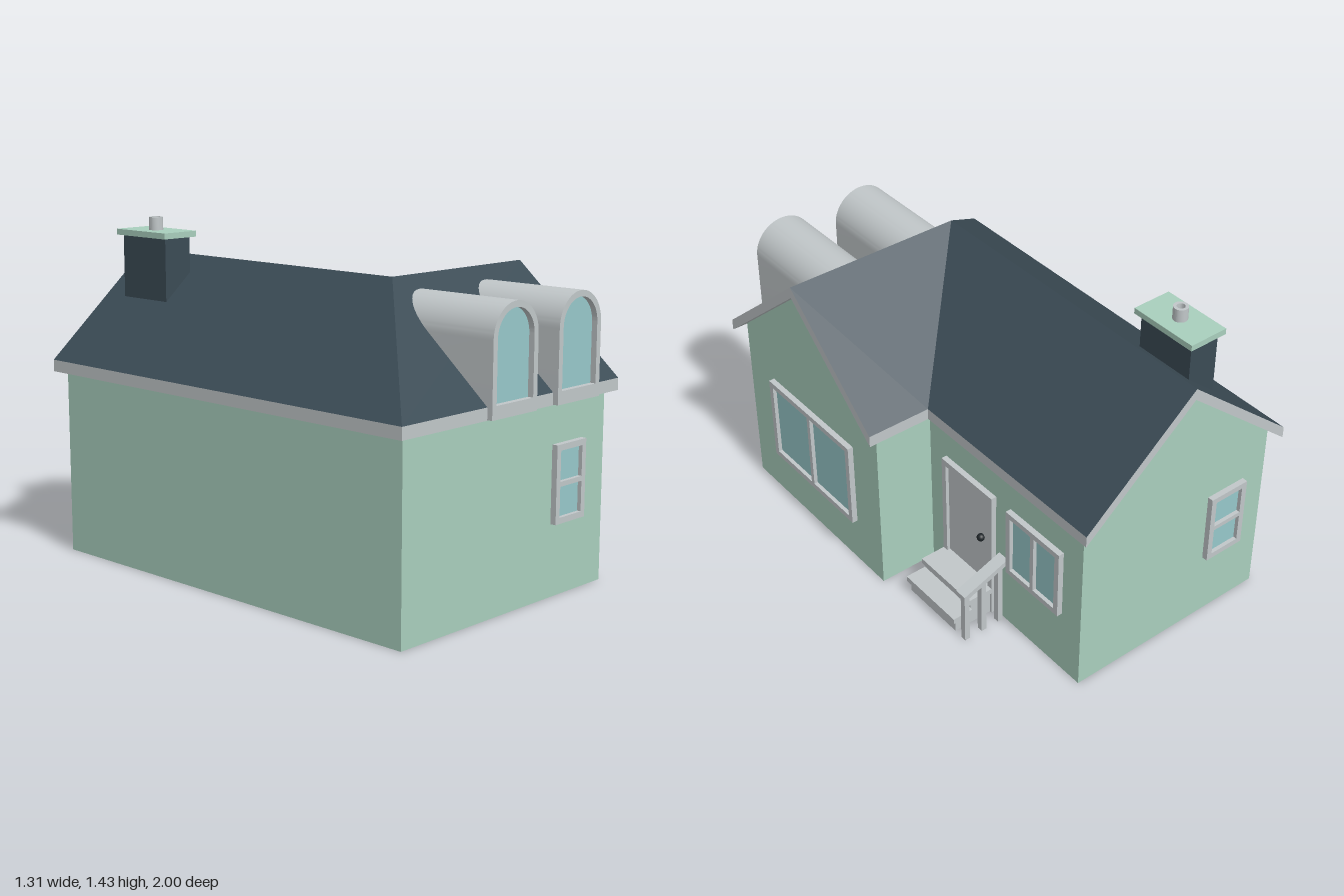
import * as THREE from 'three';
import { toCreasedNormals } from 'three/addons/utils/BufferGeometryUtils.js';

const mat = (name, color, side = THREE.FrontSide) => {
  const m = new THREE.MeshStandardMaterial({ color, side });
  m.name = name;
  return m;
};

export function createModel() {
  const house = new THREE.Group();
  house.name = 'house';
  const mint = mat('mint wall', 0xa9cfbd, THREE.DoubleSide);
  const trim = mat('pale grey trim', 0xc1c7c9);
  const slate = mat('dark slate', 0x3b4b55);
  const glass = mat('blue glass', 0x97c8ca);
  const black = mat('black knob', 0x20262a);

  const add = (name, geo, material, parent = house) => {
    const m = new THREE.Mesh(geo, material);
    m.name = name;
    parent.add(m);
    return m;
  };
  // box from its two extreme corners
  const box = (name, [x0, y0, z0], [x1, y1, z1], material, parent) =>
    add(name, new THREE.BoxGeometry(x1 - x0, y1 - y0, z1 - z0), material, parent)
      .position.set((x0 + x1) / 2, (y0 + y1) / 2, (z0 + z1) / 2);
  // flat convex polygons, counter-clockwise from outside
  const polys = (list) => {
    const pos = [];
    for (const p of list)
      for (let i = 1; i < p.length - 1; i++) pos.push(...p[0], ...p[i], ...p[i + 1]);
    const g = new THREE.BufferGeometry();
    g.setAttribute('position', new THREE.Float32BufferAttribute(pos, 3));
    g.computeVertexNormals();
    return g;
  };

  // L-shaped walls, open underneath, with two gables
  const W = -0.62, M = 0.335, E = 0.6, N = -0.95, S = 0.95, H = 0.812, P = 1.22;
  const wall = (x0, z0, x1, z1, peak) =>
    [[x0, 0, z0], [x1, 0, z1], [x1, H, z1], ...(peak ? [peak] : []), [x0, H, z0]];
  add('walls', polys([
    wall(W, S, E, S),
    wall(E, S, E, 0, [E, P, 0.47]),
    wall(E, 0, M, 0),
    wall(M, 0, M, N),
    wall(M, N, W, N, [-0.1425, P, N]),
    wall(W, N, W, S),
  ]), mint);

  // roof: four slopes meeting in a hip and a valley
  const ey = 0.835, ry = 1.27, t = 0.05;
  const sw = [-0.655, ey, 0.977], se = [0.655, ey, 0.977], re = [0.655, ry, 0.47];
  const ne = [0.655, ey, -0.037], valley = [0.37, ey, -0.037], mid = [-0.1425, ry, 0.47];
  const be = [0.37, ey, -1], rn = [-0.1425, ry, -1], bw = [-0.655, ey, -1];
  const slopes = [[sw, se, re, mid], [re, ne, valley, mid], [mid, valley, be, rn], [sw, mid, rn, bw]];
  const down = ([x, y, z]) => [x, y - t, z];
  add('roofSlopes', polys(slopes), slate);
  add('roofUnderside', polys(slopes.map((s) => s.map(down).reverse())), trim);
  const rim = [sw, se, re, ne, valley, be, rn, bw];
  add('fascia', polys(rim.map((a, i) => {
    const b = rim[(i + 1) % rim.length];
    return [down(a), down(b), b, a];
  })), trim);

  // rectangle outline used for frames and holes
  const rect = (C, x0, y0, x1, y1) => {
    const s = new C();
    s.moveTo(x0, y0).lineTo(x1, y0).lineTo(x1, y1).lineTo(x0, y1).closePath();
    return s;
  };
  // framed window with a grid of panes, standing out from a wall
  const makeWindow = (name, w, h, cols, rows, pos, turn) => {
    const g = new THREE.Group();
    g.name = name;
    const border = 0.025, bar = 0.02;
    const pw = (w - 2 * border - (cols - 1) * bar) / cols;
    const ph = (h - 2 * border - (rows - 1) * bar) / rows;
    const shape = rect(THREE.Shape, -w / 2, -h / 2, w / 2, h / 2);
    for (let c = 0; c < cols; c++)
      for (let r = 0; r < rows; r++) {
        const x = -w / 2 + border + c * (pw + bar), y = -h / 2 + border + r * (ph + bar);
        shape.holes.push(rect(THREE.Path, x, y, x + pw, y + ph));
      }
    add('frame', new THREE.ExtrudeGeometry(shape, { depth: 0.025, bevelEnabled: false }), trim, g);
    add('panes', new THREE.PlaneGeometry(w - 0.02, h - 0.02), glass, g).position.z = 0.008;
    g.position.set(...pos);
    g.rotation.y = turn;
    house.add(g);
  };
  makeWindow('frontWindow', 0.19, 0.32, 1, 2, [0.355, 0.46, S], 0);
  makeWindow('backWindow', 0.19, 0.32, 1, 2, [-0.41, 0.46, N], Math.PI);
  makeWindow('wideSideWindow', 0.59, 0.4, 2, 1, [E, 0.42, 0.47], Math.PI / 2);
  makeWindow('narrowSideWindow', 0.32, 0.32, 2, 1, [M, 0.46, -0.68], Math.PI / 2);

  // round-topped dormers
  const arch = (C, r, y0, yc) => {
    const s = new C();
    s.moveTo(-r, y0).lineTo(r, y0).lineTo(r, yc);
    s.absarc(0, yc, r, 0, Math.PI, false);
    s.closePath();
    return s;
  };
  for (const x of [-0.047, 0.355]) {
    const g = new THREE.Group();
    g.name = 'dormer';
    const shell = arch(THREE.Shape, 0.135, 0.787, 1.085);
    shell.holes.push(arch(THREE.Path, 0.11, 0.84, 1.085));
    const geo = new THREE.ExtrudeGeometry(shell, { depth: 0.5, bevelEnabled: false, curveSegments: 24 });
    add('dormerShell', toCreasedNormals(geo, 0.5), trim, g).position.z = 0.5;
    add('dormerGlass', new THREE.ShapeGeometry(arch(THREE.Shape, 0.112, 0.835, 1.085), 24), glass, g).position.z = 0.975;
    g.position.x = x;
    house.add(g);
  }

  // chimney
  box('chimneyStack', [-0.355, 1.05, -0.88], [-0.22, 1.355, -0.61], slate);
  box('chimneyCap', [-0.375, 1.355, -0.9], [-0.2, 1.38, -0.59], mint);
  const pot = [[0.03, 0], [0.03, 0.055], [0.017, 0.055], [0.017, 0.002], [0, 0.002]]
    .map(([r, y]) => new THREE.Vector2(r, y));
  add('chimneyPot', toCreasedNormals(new THREE.LatheGeometry(pot, 24), 0.5), trim)
    .position.set(-0.288, 1.38, -0.745);

  // door with frame and knob
  const door = new THREE.Group();
  door.name = 'door';
  house.add(door);
  box('doorPanel', [M - 0.005, 0.13, -0.41], [M + 0.01, 0.6, -0.12], trim, door);
  box('doorFrameTop', [M, 0.595, -0.43], [M + 0.025, 0.622, -0.107], trim, door);
  for (const z of [-0.43, -0.132])
    box('doorFrameSide', [M, 0.0, z], [M + 0.025, 0.595, z + 0.025], trim, door);
  add('doorKnob', new THREE.SphereGeometry(0.017, 16, 12), black, door).position.set(M + 0.02, 0.365, -0.355);

  // two steps, each a tread over a set-back riser
  for (const [x0, x1, y] of [[M, 0.475, 0.135], [0.46, 0.555, 0.08]]) {
    box('stepTread', [x0, y - 0.025, -0.43], [x1, y, -0.107], trim);
    box('stepRiser', [x0, 0, -0.42], [x1 - 0.015, y - 0.025, -0.117], trim);
  }

  // sloping handrail on three posts
  const railTop = (x) => 0.34 - (x - M) * 0.364;
  const rail = new THREE.Shape([[M, railTop(M) - 0.025], [0.555, railTop(0.555) - 0.025],
    [0.555, railTop(0.555)], [M, railTop(M)]].map(([x, y]) => new THREE.Vector2(x, y)));
  add('handrail', new THREE.ExtrudeGeometry(rail, { depth: 0.055, bevelEnabled: false }), trim)
    .position.z = -0.505;
  for (const x of [0.36, 0.445, 0.53])
    box('railPost', [x - 0.012, 0, -0.488], [x + 0.012, railTop(x) - 0.015, -0.462], trim);

  return house;
}
